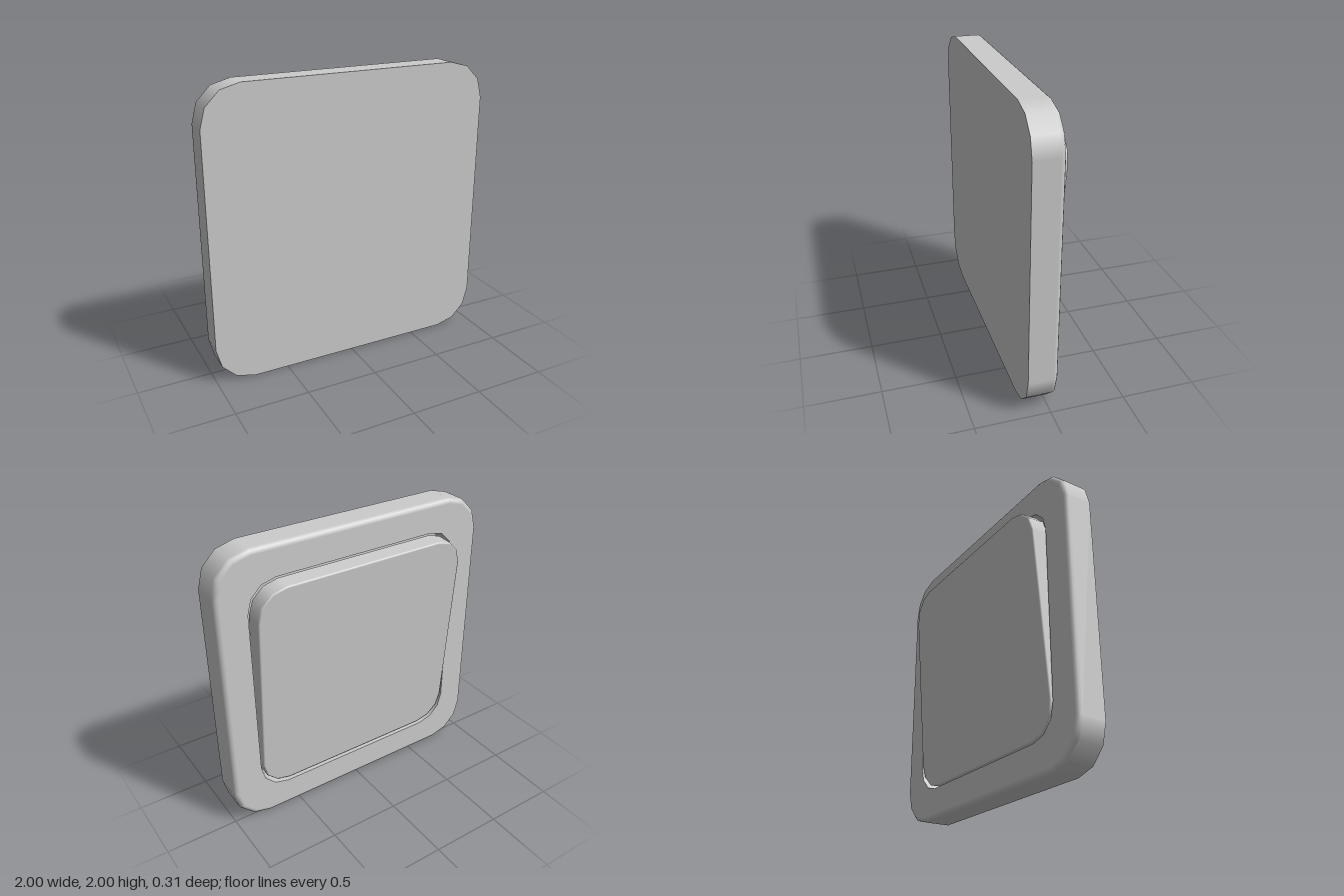
import * as THREE from 'three';

const CORNER_STEPS = 3;

// Lofts rounded-square rings along z. Each band is a smooth run of rings
// [halfSize, cornerRadius, z, outwardNormal, zNormal]; band ends stay sharp.
function loftBands(bands) {
  const positions = [], normals = [], indices = [];
  const count = 4 * (CORNER_STEPS + 1);
  for (const band of bands) {
    const base = positions.length / 3;
    for (const [half, radius, z, nr, nz] of band) {
      for (let corner = 0; corner < 4; corner++) {
        const mid = Math.PI / 4 + corner * Math.PI / 2;
        const cx = Math.sign(Math.cos(mid)) * (half - radius);
        const cy = Math.sign(Math.sin(mid)) * (half - radius);
        for (let s = 0; s <= CORNER_STEPS; s++) {
          const a = (corner + s / CORNER_STEPS) * Math.PI / 2;
          positions.push(cx + radius * Math.cos(a), cy + radius * Math.sin(a), z);
          normals.push(nr * Math.cos(a), nr * Math.sin(a), nz);
        }
      }
    }
    for (let i = 0; i < band.length - 1; i++) {
      for (let j = 0; j < count; j++) {
        const k = (j + 1) % count;
        const a = base + i * count, b = a + count;
        indices.push(a + j, b + j, b + k, a + j, b + k, a + k);
      }
    }
  }
  const geometry = new THREE.BufferGeometry();
  geometry.setAttribute('position', new THREE.Float32BufferAttribute(positions, 3));
  geometry.setAttribute('normal', new THREE.Float32BufferAttribute(normals, 3));
  geometry.setIndex(indices);
  return geometry;
}

// Flat front, straight side, and a rounded edge running into the back at zBack
function slabBands(half, radius, zFront, zBack, bevel) {
  const side = [[half, radius, zFront, 1, 0]];
  for (let i = 0; i <= 4; i++) {
    const a = i / 4 * Math.PI / 2;
    const inset = bevel * (1 - Math.cos(a));
    side.push([half - inset, radius - inset, zBack + bevel * (1 - Math.sin(a)), Math.cos(a), -Math.sin(a)]);
  }
  return [
    [[0, 0, zFront, 0, 1], [half, radius, zFront, 0, 1]],
    side,
  ];
}

export function createModel() {
  const group = new THREE.Group();
  group.name = 'rockerSwitch';
  const plastic = new THREE.MeshStandardMaterial({ color: 0xcccccc });
  plastic.name = 'light grey plastic';

  // Wall plate with a square recess in its back face
  const bevel = 0.035, back = -0.045, floor = 0.1;
  const hole = 0.79, holeRadius = 0.2;
  const plate = new THREE.Mesh(loftBands([
    ...slabBands(1, 0.26, 0.155, back, bevel),
    [[1 - bevel, 0.26 - bevel, back, 0, -1], [hole, holeRadius, back, 0, -1]],
    [[hole, holeRadius, back, -1, 0], [hole, holeRadius, floor, -1, 0]],
    [[hole, holeRadius, floor, 0, -1], [0, 0, floor, 0, -1]],
  ]), plastic);
  plate.name = 'wallPlate';
  plate.position.y = 1;
  group.add(plate);

  // Tilted rocker, standing proud at the top and flush at the bottom
  const edge = 0.012, half = 0.773, radius = 0.2;
  const rocker = new THREE.Mesh(loftBands([
    ...slabBands(half, radius, 0.12, 0, edge),
    [[half - edge, radius - edge, 0, 0, -1], [0, 0, 0, 0, -1]],
  ]), plastic);
  rocker.name = 'rocker';
  rocker.position.set(0, 0.995, -0.0965);
  rocker.rotation.x = -0.077;
  group.add(rocker);

  return group;
}
